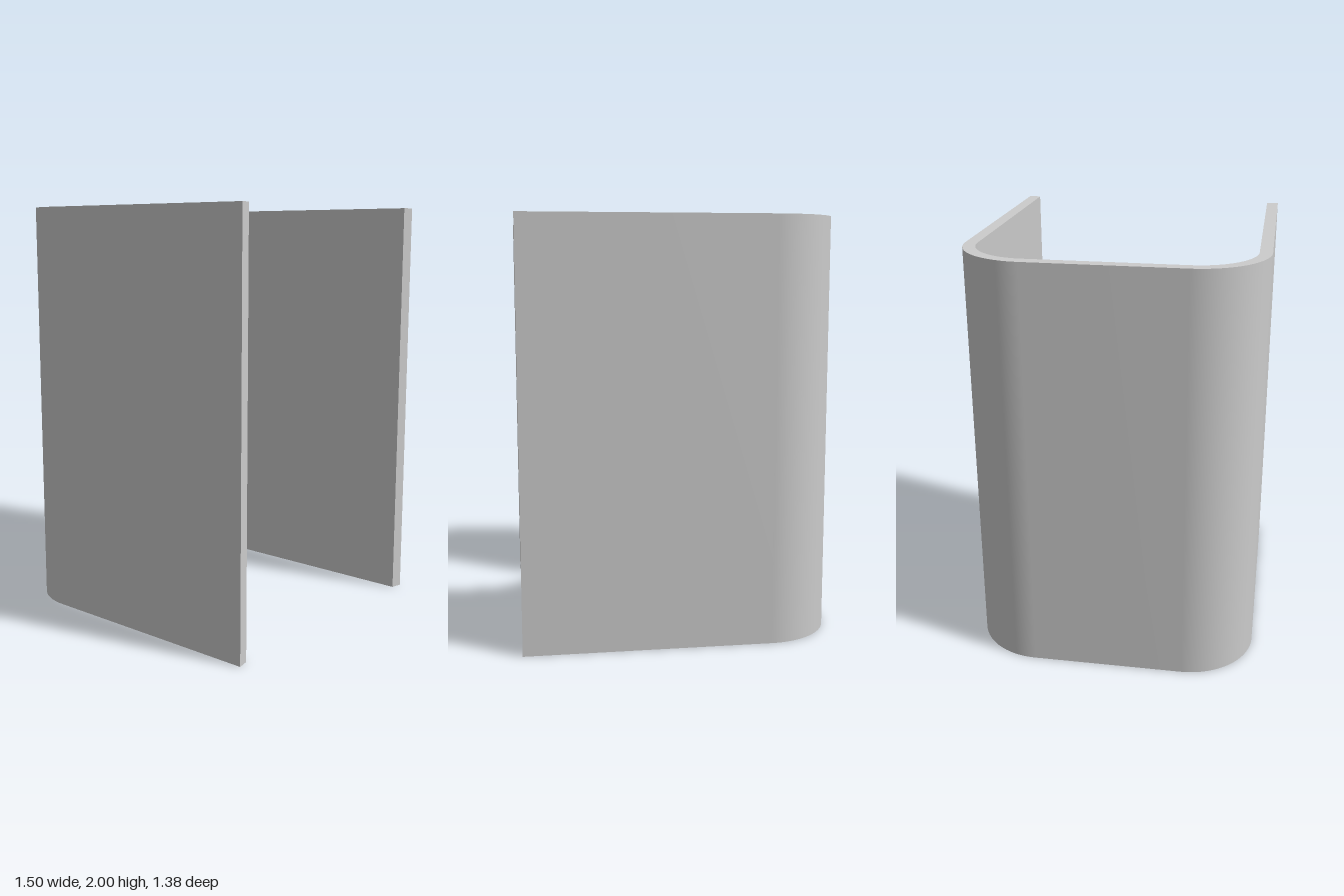
import * as THREE from 'three';
import { toCreasedNormals } from 'three/addons/utils/BufferGeometryUtils.js';

export function createModel() {
  const group = new THREE.Group();
  group.name = 'channel';

  const height = 2, cornerX = -0.42, cornerZ = 0.362;
  const outerR = 0.33, innerR = 0.272;
  const { PI } = Math;

  // U-shaped wall profile: outer outline, slanted end, then back along the inside
  const profile = new THREE.Shape();
  profile.moveTo(0.75, 0.687);
  profile.lineTo(cornerX, cornerZ + outerR);
  profile.absarc(cornerX, cornerZ, outerR, PI / 2, PI, false);
  profile.absarc(cornerX, -cornerZ, outerR, PI, 1.5 * PI, false);
  profile.lineTo(0.75, -0.687);
  profile.lineTo(0.738, -0.63);
  profile.lineTo(cornerX, -cornerZ - innerR);
  profile.absarc(cornerX, -cornerZ, innerR, 1.5 * PI, PI, true);
  profile.absarc(cornerX, cornerZ, innerR, PI, PI / 2, true);
  profile.lineTo(0.738, 0.63);
  profile.closePath();

  // Extrude upwards, smooth around the bends and sharp at the rims
  const extruded = new THREE.ExtrudeGeometry(profile, {
    depth: height, bevelEnabled: false, curveSegments: 24,
  });
  extruded.rotateX(-PI / 2);
  const wall = new THREE.Mesh(
    toCreasedNormals(extruded, 0.5),
    new THREE.MeshStandardMaterial({ color: 0xcccccc }),
  );
  wall.name = 'channelWall';
  group.add(wall);

  return group;
}
